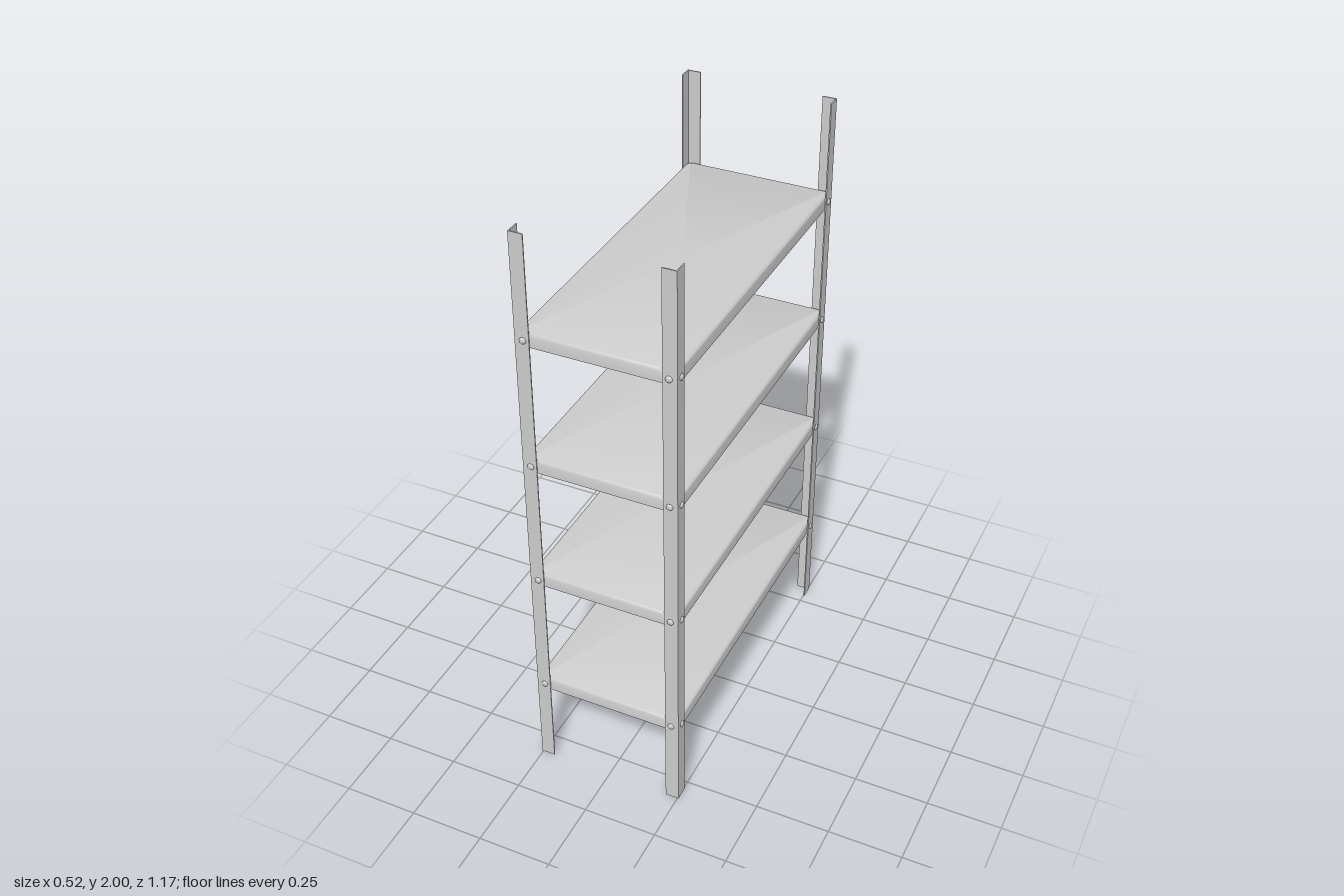
import * as THREE from 'three';
import { toCreasedNormals } from 'three/addons/utils/BufferGeometryUtils.js';

const material = new THREE.MeshStandardMaterial({ color: 0xcccccc });
const HX = 0.254, HZ = 0.578;          // outer half extents of the posts
const POST = 0.046, SHEET = 0.004;     // flange width and sheet thickness
const SX = HX - SHEET, SZ = HZ - SHEET; // shelf half extents
const LIP = 0.047;                     // shelf depth
const SHELF_TOPS = [0.349, 0.793, 1.236, 1.68];

function mesh(geometry, name) {
  const m = new THREE.Mesh(geometry, material);
  m.name = name;
  return m;
}

// Rounded rectangle of points, inset from the shelf outline
function ring(inset, y) {
  const r = Math.max(0.02 - inset, 0.002), steps = 5, pts = [];
  for (let c = 0; c < 4; c++) {
    const cx = (c === 0 || c === 3 ? 1 : -1) * (SX - inset - r);
    const cz = (c < 2 ? 1 : -1) * (SZ - inset - r);
    for (let i = 0; i <= steps; i++) {
      const a = (c + i / steps) * Math.PI / 2;
      pts.push([cx + r * Math.cos(a), y, cz + r * Math.sin(a)]);
    }
  }
  return pts;
}

// Folded sheet tray, open below, with a rounded upper edge
function shelfGeometry() {
  const bend = 0.01, outer = [[0, -LIP]], inner = [[SHEET, -LIP]];
  for (let i = 0; i <= 4; i++) {
    const a = i / 4 * Math.PI / 2, c = Math.cos(a), s = Math.sin(a);
    outer.push([bend - bend * c, -bend + bend * s]);
    inner.push([bend - (bend - SHEET) * c, -bend + (bend - SHEET) * s]);
  }
  const rings = [...inner.reverse(), ...outer].map(([inset, y]) => ring(inset, y));
  const n = rings[0].length, pos = rings.flat(2), index = [];
  for (let k = 0; k < rings.length - 1; k++) {
    for (let i = 0; i < n; i++) {
      const a = k * n + i, b = k * n + (i + 1) % n;
      index.push(a, a + n, b, b, a + n, b + n);
    }
  }
  // Underside and top panel
  const under = pos.length / 3, top = under + 1, last = (rings.length - 1) * n;
  pos.push(0, -SHEET, 0, 0, 0, 0);
  for (let i = 0; i < n; i++) {
    const j = (i + 1) % n;
    index.push(under, i, j, top, last + j, last + i);
  }
  const g = new THREE.BufferGeometry();
  g.setAttribute('position', new THREE.Float32BufferAttribute(pos, 3));
  g.setIndex(index);
  return toCreasedNormals(g, 0.6);
}

// L-shaped angle post with its outer corner at the origin
function postGeometry() {
  const s = new THREE.Shape();
  s.moveTo(0, 0);
  s.lineTo(POST, 0);
  s.lineTo(POST, SHEET);
  s.lineTo(SHEET, SHEET);
  s.lineTo(SHEET, POST);
  s.lineTo(0, POST);
  s.closePath();
  return new THREE.ExtrudeGeometry(s, { depth: 2, bevelEnabled: false }).rotateX(-Math.PI / 2);
}

// Bolt along +y: domed head outside, shank and hex nut inside
function makeBolt(headGeometry, shankGeometry, nutGeometry) {
  const bolt = new THREE.Group();
  bolt.name = 'bolt';
  const shank = mesh(shankGeometry, 'shank');
  shank.position.y = -0.009;
  const nut = mesh(nutGeometry, 'nut');
  nut.position.y = -2 * SHEET - 0.003;
  bolt.add(mesh(headGeometry, 'boltHead'), shank, nut);
  return bolt;
}

export function createModel() {
  const model = new THREE.Group();
  model.name = 'shelvingUnit';

  // Shelves
  const shelfGeo = shelfGeometry();
  SHELF_TOPS.forEach((y) => {
    const shelf = mesh(shelfGeo, 'shelf');
    shelf.position.y = y;
    model.add(shelf);
  });

  // Corner posts, each a quarter turn on from the last
  const postGeo = postGeometry();
  [[-1, 1], [1, 1], [1, -1], [-1, -1]].forEach(([sx, sz], i) => {
    const post = mesh(postGeo, 'cornerPost');
    post.position.set(sx * HX, 0, sz * HZ);
    post.rotation.y = i * Math.PI / 2;
    model.add(post);
  });

  // Bolts, two per corner of every shelf
  const head = new THREE.LatheGeometry([
    new THREE.Vector2(0.011, 0), new THREE.Vector2(0.010, 0.003),
    new THREE.Vector2(0.006, 0.0055), new THREE.Vector2(0, 0.006),
  ], 16);
  const shank = new THREE.CylinderGeometry(0.004, 0.004, 0.018, 10);
  const nut = toCreasedNormals(new THREE.CylinderGeometry(0.009, 0.009, 0.006, 6), 0.5);
  for (const top of SHELF_TOPS) {
    for (const sx of [-1, 1]) {
      for (const sz of [-1, 1]) {
        const side = makeBolt(head, shank, nut);
        side.position.set(sx * HX, top - 0.026, sz * (HZ - 0.026));
        side.rotation.z = -sx * Math.PI / 2;
        const end = makeBolt(head, shank, nut);
        end.position.set(sx * (HX - 0.026), top - 0.026, sz * HZ);
        end.rotation.x = sz * Math.PI / 2;
        model.add(side, end);
      }
    }
  }
  return model;
}
